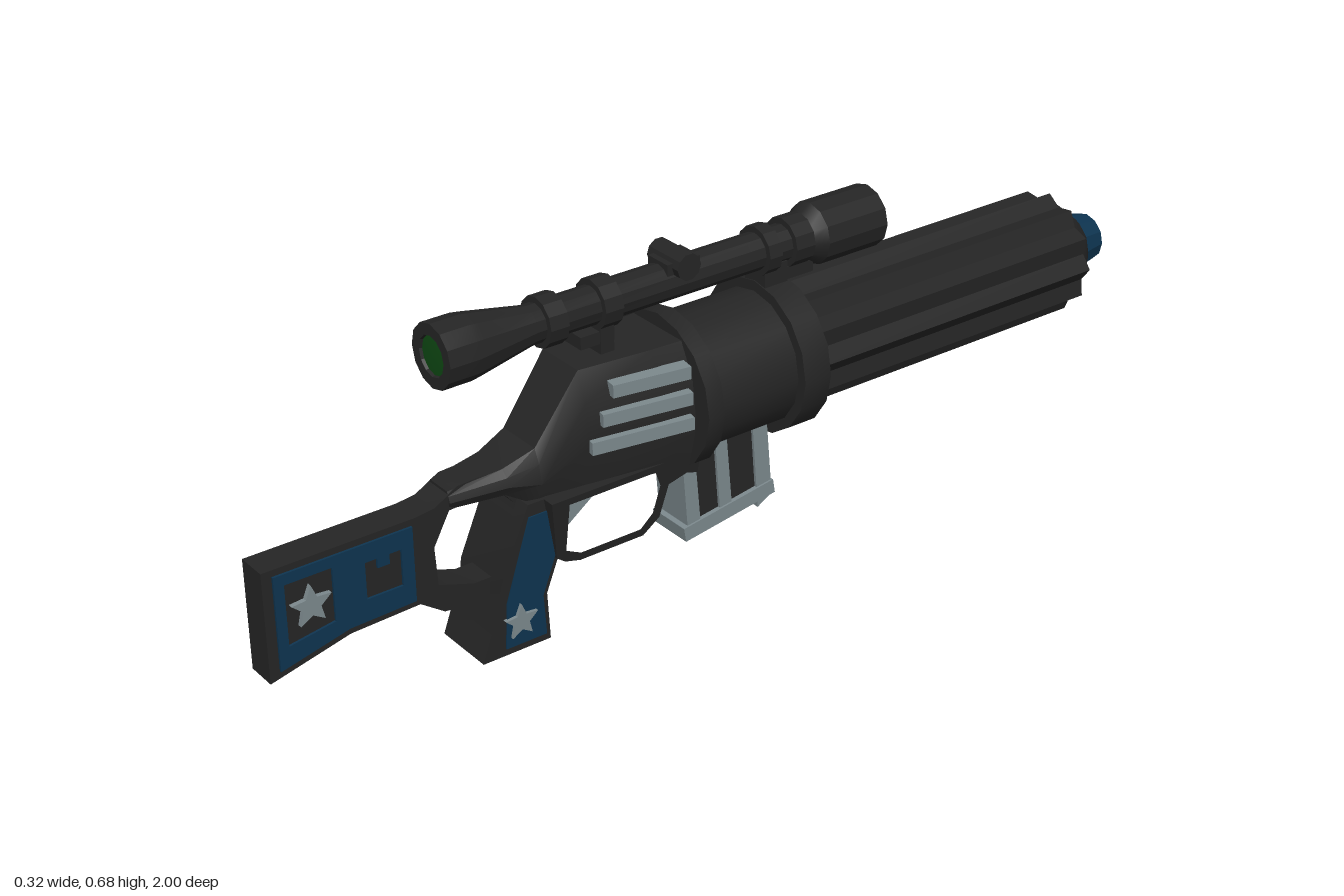
import * as THREE from 'three';
import { toCreasedNormals } from 'three/addons/utils/BufferGeometryUtils.js';

const mat = (name, color) => {
  const m = new THREE.MeshStandardMaterial({ color });
  m.name = name;
  return m;
};

export function createModel() {
  const black = mat('black', 0x252525);
  const blue = mat('navy blue', 0x0e3450);
  const silver = mat('silver', 0x7c898d);
  const green = mat('lens green', 0x0f4a14);
  const root = new THREE.Group();

  const add = (name, geo, material, parent = root) => {
    const mesh = new THREE.Mesh(toCreasedNormals(geo, 0.5), material);
    mesh.name = name;
    parent.add(mesh);
    return mesh;
  };
  // side profile in (z, y), extruded across x and centred on cx
  const slab = (points, half, holes = [], cx = 0) => {
    const v = (p) => p.map(([a, b]) => new THREE.Vector2(a, b));
    const shape = new THREE.Shape(v(points));
    holes.forEach((h) => shape.holes.push(new THREE.Path(v(h))));
    return new THREE.ExtrudeGeometry(shape, { depth: half * 2, bevelEnabled: false })
      .translate(0, 0, -half).rotateY(-Math.PI / 2).translate(cx, 0, 0);
  };
  // turned profile in (radius, z), z rising
  const turned = (points, y, sides) =>
    new THREE.LatheGeometry(points.map(([r, z]) => new THREE.Vector2(r, z)), sides)
      .rotateX(Math.PI / 2).translate(0, y, 0);
  const ring = (r, z0, z1, y, sides) => turned([[0, z0], [r, z0], [r, z1], [0, z1]], y, sides);
  const box = (w, h, d, x, y, z) => new THREE.BoxGeometry(w, h, d).translate(x, y, z);
  const radial = (n, outer, inner, cx, cy) => Array.from({ length: n * 2 }, (_, i) => {
    const a = Math.PI / 2 + (i * Math.PI) / n, r = i % 2 ? inner : outer;
    return [cx + r * Math.cos(a), cy + r * Math.sin(a)];
  });

  // fluted barrel, nose and hollow muzzle
  const flutes = new THREE.Shape(radial(12, 0.128, 0.11, 0, 0.403).map(([a, b]) => new THREE.Vector2(a, b)));
  add('barrel', new THREE.ExtrudeGeometry(flutes, { depth: 0.785, bevelEnabled: false })
    .translate(0, 0, -0.885), black);
  add('barrelNose', turned([[0, -0.945], [0.064, -0.945], [0.09, -0.917], [0.115, -0.884]], 0.403, 12), black);
  add('muzzle', turned([[0, -0.95], [0.036, -0.95], [0.042, -1], [0.05, -1], [0.061, -0.944]], 0.403, 12), blue);

  // drum with its two collars
  add('drum', ring(0.137, -0.15, 0.12, 0.4, 16), black);
  add('frontCollar', ring(0.158, -0.163, -0.1, 0.4, 16), black);
  add('rearCollar', ring(0.158, 0.093, 0.13, 0.4, 16), black);

  // receiver lofted through sections: z, bottom, top, half width, half width of top
  const sections = [
    [0.11, 0.255, 0.53, 0.122, 0.075], [0.2, 0.28, 0.53, 0.11, 0.07], [0.35, 0.285, 0.53, 0.086, 0.055],
    [0.445, 0.285, 0.4, 0.07, 0.05], [0.51, 0.325, 0.375, 0.062, 0.04], [0.62, 0.325, 0.362, 0.036, 0.028],
  ];
  const pos = [], idx = [], n = 8;
  sections.forEach(([z, b, t, w, tw], s) => {
    const h = t - b;
    const half = [[0.78 * w, b], [w, t - 0.58 * h], [0.9 * w, t - 0.24 * h], [tw, t]];
    half.forEach(([x, y]) => pos.push(x, y, z));
    half.slice().reverse().forEach(([x, y]) => pos.push(-x, y, z));
    for (let k = 0; s && k < n; k++) {
      const a = (s - 1) * n + k, c = (s - 1) * n + ((k + 1) % n);
      idx.push(a, c, a + n, c, c + n, a + n);
    }
  });
  const last = (sections.length - 1) * n;
  for (let k = 1; k < n - 1; k++) idx.push(0, k + 1, k, last, last + k, last + k + 1);
  const loft = new THREE.BufferGeometry();
  loft.setAttribute('position', new THREE.Float32BufferAttribute(pos, 3));
  loft.setIndex(idx);
  add('receiver', loft, black);

  // stock with the open thumb loop
  add('stock', slab([
    [0.47, 0.375], [0.6, 0.368], [0.65, 0.34], [0.69, 0.335], [1, 0.335], [1, 0.11], [0.835, 0.15],
    [0.69, 0.155], [0.64, 0.12], [0.545, 0.11], [0.47, 0.12],
  ], 0.032, [[
    [0.62, 0.325], [0.515, 0.33], [0.48, 0.29], [0.53, 0.155], [0.575, 0.155], [0.65, 0.18], [0.655, 0.26],
  ]]), black);

  // pistol grip
  add('grip', slab([
    [0.475, 0.3], [0.4, 0.3], [0.4, 0.2], [0.44, 0.1], [0.435, 0], [0.585, 0], [0.545, 0.11], [0.54, 0.15],
  ], 0.067), black);

  // trigger guard, narrowing towards its bottom
  const guard = slab([
    [0.44, 0.3], [0.42, 0.17], [0.4, 0.155], [0.365, 0.145], [0.22, 0.145], [0.185, 0.175],
    [0.17, 0.245], [0.11, 0.262], [0.11, 0.3],
  ], 1, [[
    [0.4, 0.18], [0.365, 0.162], [0.228, 0.162], [0.202, 0.19], [0.19, 0.25], [0.205, 0.285], [0.4, 0.285],
  ]]);
  const gp = guard.attributes.position;
  for (let i = 0; i < gp.count; i++) gp.setX(i, gp.getX(i) * (0.07 + (gp.getY(i) - 0.145) * 0.15));
  add('triggerGuard', guard, black);
  add('trigger', slab([[0.405, 0.195], [0.405, 0.29], [0.275, 0.29]], 0.05), silver);

  // painted panels, stars and side vents, mirrored
  for (const s of [1, -1]) {
    const side = new THREE.Group();
    side.name = s > 0 ? 'leftTrim' : 'rightTrim';
    root.add(side);
    add('stockPanel', slab([
      [0.98, 0.322], [0.7, 0.322], [0.7, 0.168], [0.838, 0.164], [0.98, 0.13],
    ], 0.003, [
      [[0.96, 0.3], [0.865, 0.3], [0.865, 0.19], [0.96, 0.175]],
      [[0.8, 0.285], [0.775, 0.285], [0.775, 0.265], [0.75, 0.265], [0.75, 0.285], [0.725, 0.285],
        [0.725, 0.21], [0.8, 0.21]],
    ], s * 0.034), blue, side);
    add('stockStar', slab(radial(5, 0.042, 0.019, 0.912, 0.242), 0.005, [], s * 0.037), silver, side);
    add('gripPanel', slab([
      [0.475, 0.275], [0.408, 0.275], [0.408, 0.21], [0.45, 0.1], [0.445, 0.015], [0.535, 0.015], [0.53, 0.11],
    ], 0.0035, [], s * 0.0665), blue, side);
    add('gripStar', slab(radial(5, 0.037, 0.017, 0.503, 0.067), 0.006, [], s * 0.071), silver, side);
    [[0.487, 0.3, 0.107], [0.436, 0.325, 0.113], [0.386, 0.35, 0.117]].forEach(([y, end, x]) => {
      const len = end - 0.14;
      const vent = add('sideVent', box(0.03, 0.026, len, 0, 0, 0), silver, side);
      vent.position.set(s * (x - 0.08 * len), y, 0.14 + len / 2);
      vent.rotation.y = -s * 0.16;
    });
  }

  // magazine: dark core, silver ribs, base plate with studs
  const mag = new THREE.Group();
  mag.name = 'magazine';
  root.add(mag);
  add('magazineCore', slab([[0.1, 0.29], [-0.09, 0.29], [-0.1, 0.12], [0.085, 0.09]], 0.04), black, mag);
  [[0.11, 0.03], [0.03, 0.028], [-0.062, 0.035]].forEach(([z, w]) => {
    add('magazineRib', slab([[z, 0.285], [z - w, 0.285], [z - w - 0.015, 0.11], [z - 0.015, 0.09]], 0.046), silver, mag);
  });
  add('magazineBase', slab([[0.108, 0.108], [-0.112, 0.142], [-0.117, 0.112], [0.103, 0.078]], 0.05), silver, mag);
  [0.07, 0, -0.07].forEach((z) =>
    add('magazineStud', box(0.05, 0.02, 0.02, 0, 0.08 - (z - 0.07) * 0.155, z), silver, mag));

  // telescopic sight
  const Y = 0.62;
  const scope = new THREE.Group();
  scope.name = 'scope';
  root.add(scope);
  add('scopeTube', turned([
    [0, -0.33], [0.045, -0.33], [0.054, -0.38], [0.063, -0.38], [0.063, -0.235], [0.038, -0.2],
    [0.038, 0.42], [0.06, 0.54], [0.063, 0.56], [0.063, 0.62], [0.04, 0.62], [0.038, 0.612], [0, 0.612],
  ], Y, 12), black, scope);
  add('rearLens', turned([[0.039, 0.614], [0, 0.616]], Y, 12), green, scope);
  [[0.36, 0.4], [0.24, 0.28], [-0.13, -0.1], [-0.21, -0.165]].forEach(([a, b]) =>
    add('scopeRing', ring(0.05, a, b, Y, 12), black, scope));
  add('turretKnob', new THREE.CylinderGeometry(0.027, 0.027, 0.094, 10)
    .rotateZ(Math.PI / 2).translate(0, 0.657, 0.09), black, scope);
  add('turretBase', box(0.06, 0.05, 0.075, 0, 0.64, 0.09), black, scope);
  // mounts
  add('rearMount', box(0.06, 0.075, 0.03, 0, 0.552, 0.265), black, scope);
  add('rearMountFoot', box(0.055, 0.025, 0.075, 0, 0.563, 0.285), black, scope);
  add('frontMount', box(0.06, 0.06, 0.055, 0, 0.565, -0.13), black, scope);
  add('frontMountFoot', box(0.05, 0.025, 0.12, 0, 0.565, -0.165), black, scope);
  return root;
}
